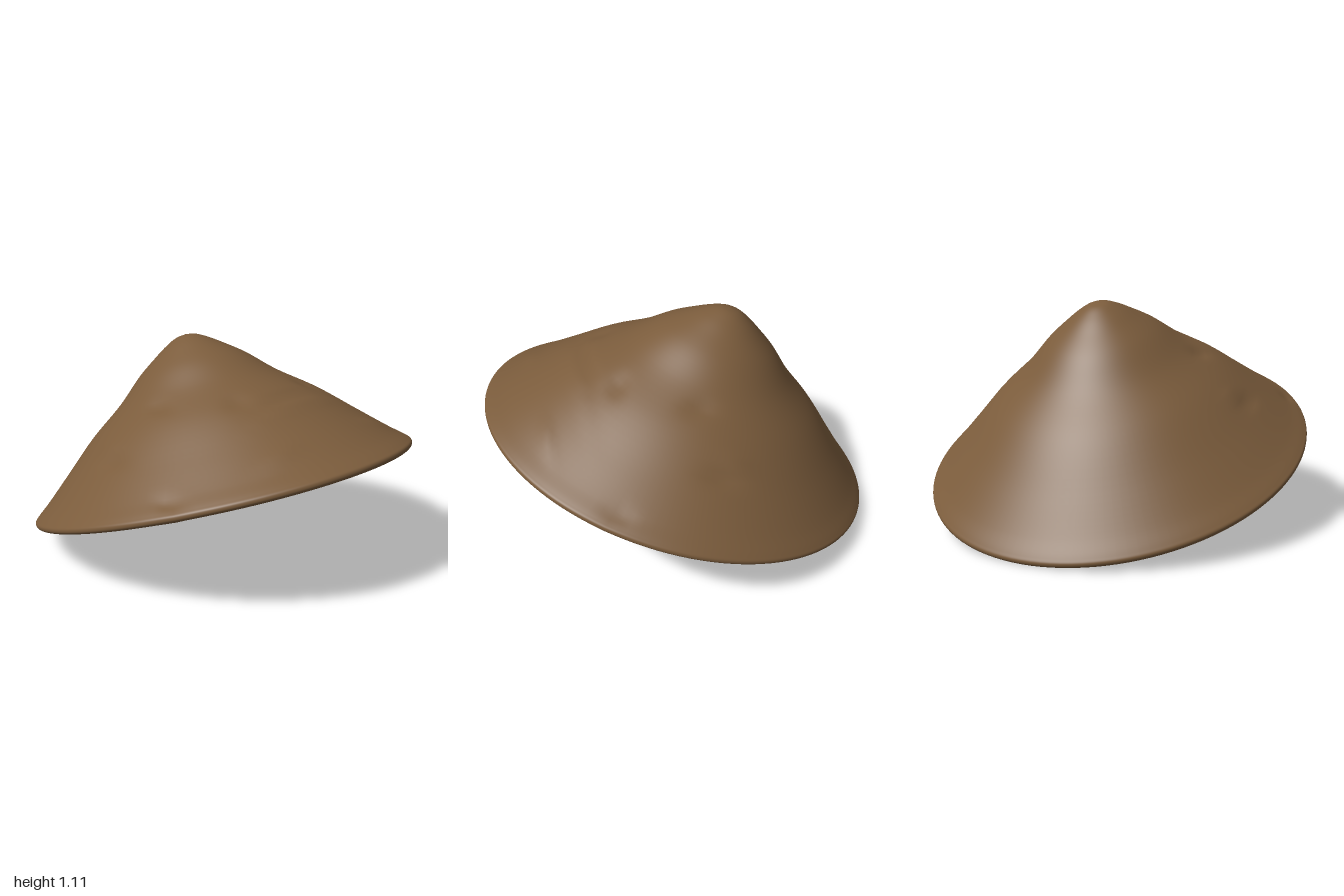
import * as THREE from 'three';
import { mergeVertices } from 'three/addons/utils/BufferGeometryUtils.js';

const TILT = 0.333;      // brim lifted at the front
const CENTRE_Y = 0.36;   // height of the brim centre
const WIDTH = 0.914;     // slightly narrower across than front to back

// Hat wall as [radius, height]: up the inside's mirror, round the lip, up the outside
const inner = [[0, 0.735], [0.06, 0.722], [0.16, 0.665], [0.28, 0.575], [0.42, 0.465],
  [0.62, 0.32], [0.82, 0.15], [0.95, 0.035], [0.995, -0.005]];
const lip = [[1.015, -0.02], [1.038, -0.021], [1.053, -0.01], [1.054, 0.006], [1.038, 0.022]];
const outer = [[0.97, 0.075], [0.83, 0.194], [0.635, 0.362], [0.44, 0.502], [0.3, 0.624],
  [0.2, 0.694], [0.12, 0.745], [0.055, 0.776], [0, 0.785]];

// Soft creases, mirrored left and right: [x, z, half width, half depth, lift]
const creases = [
  [0, 0.48, 0.22, 0.025, -0.012], [0, 0.54, 0.26, 0.022, 0.008],
  [0.24, 0.37, 0.06, 0.05, -0.012], [0.43, 0.02, 0.03, 0.08, -0.014],
  [0.69, -0.02, 0.025, 0.09, -0.016], [0.64, -0.1, 0.02, 0.07, 0.008],
  [0.35, 0.73, 0.1, 0.03, 0.008], [0.77, 0.48, 0.03, 0.06, -0.01],
];

function creaseLift(x, z) {
  let lift = 0;
  for (const [cx, cz, w, d, amount] of creases) {
    const u = (Math.abs(x) - cx) / w, v = (z - cz) / d;
    lift += amount * Math.exp(-(u * u + v * v));
  }
  return lift;
}

function hatGeometry() {
  const profile = new THREE.CatmullRomCurve3(
    [...inner, ...lip, ...outer].map(([r, h]) => new THREE.Vector3(r, h, 0)), false, 'centripetal');
  const points = profile.getPoints(132).map((p) => new THREE.Vector2(Math.max(0, p.x), p.y));
  let geometry = new THREE.LatheGeometry(points, 128);
  geometry.scale(WIDTH, 1, 1).rotateX(-TILT).translate(0, CENTRE_Y, 0);

  // Press the creases into both faces of the wall
  const pos = geometry.attributes.position;
  for (let i = 0; i < pos.count; i++) {
    pos.setY(i, pos.getY(i) + creaseLift(pos.getX(i), pos.getZ(i)));
  }
  // Weld the seam so the shading stays smooth all round
  geometry.deleteAttribute('uv');
  geometry.deleteAttribute('normal');
  geometry = mergeVertices(geometry, 1e-5);
  geometry.computeVertexNormals();
  return geometry;
}

export function createModel() {
  const group = new THREE.Group();
  group.name = 'conicalHat';
  const brown = new THREE.MeshStandardMaterial({ color: 0x7b5c3c });
  brown.name = 'strawBrown';
  const hat = new THREE.Mesh(hatGeometry(), brown);
  hat.name = 'hatShell';
  group.add(hat);
  return group;
}
